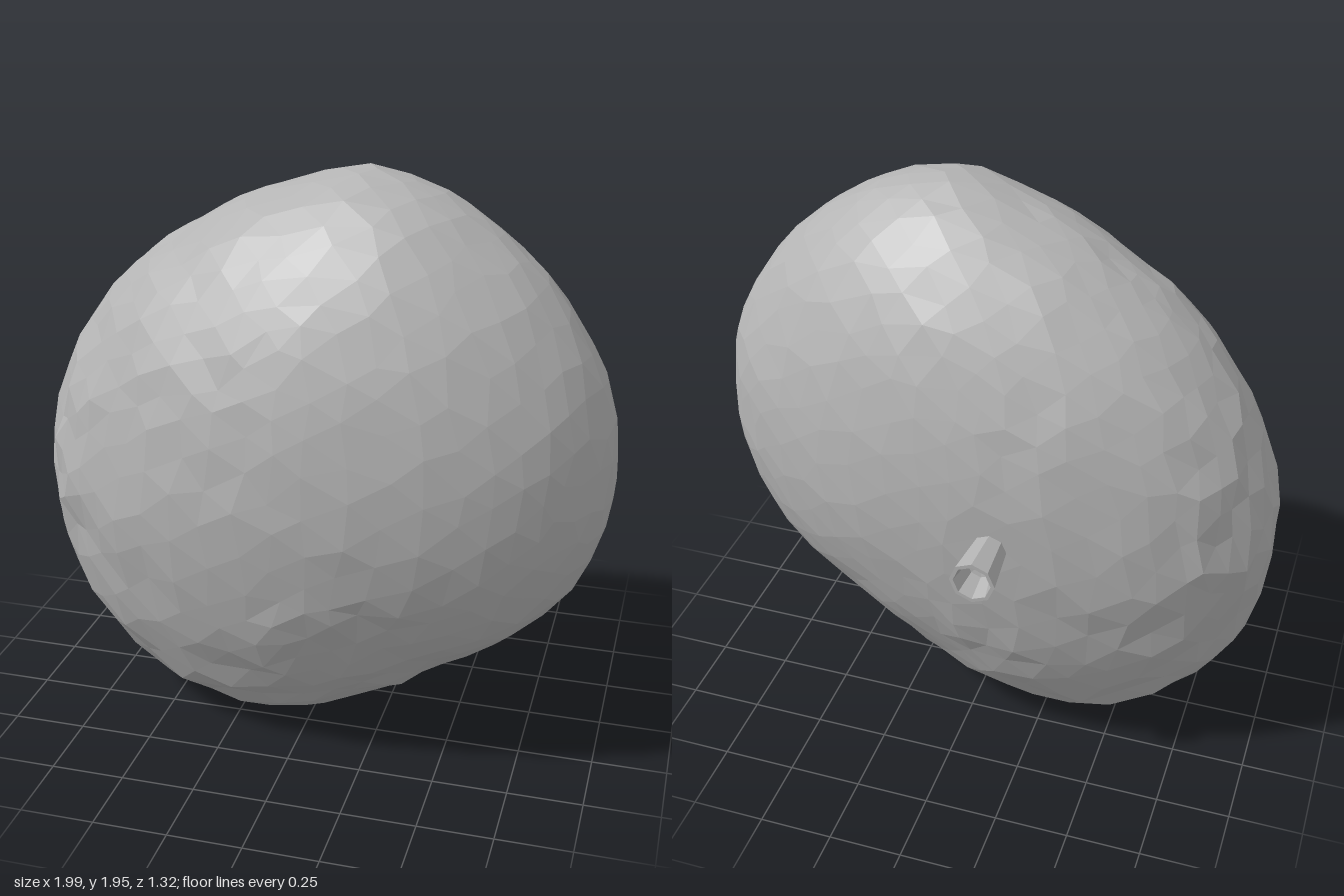
import * as THREE from 'three';
import { mergeVertices } from 'three/addons/utils/BufferGeometryUtils.js';

const stone = new THREE.MeshStandardMaterial({ color: 0xb4b4b4, flatShading: true });
stone.name = 'stone grey';

const CENTRE_Y = 0.97;

// Widest outline of the boulder (x, y), anticlockwise from the left tip
const OUTLINE = [
  [1.0, 0.93], [0.98, 1.27], [0.81, 1.57], [0.57, 1.79], [0.38, 1.9], [0.16, 1.95],
  [-0.08, 1.89], [-0.25, 1.83], [-0.41, 1.74], [-0.61, 1.61], [-0.79, 1.42], [-0.89, 1.27],
  [-0.97, 1.05], [-1.01, 0.82], [-0.97, 0.6], [-0.89, 0.39], [-0.71, 0.15], [-0.48, 0.0],
  [-0.08, -0.01], [0.22, 0.11], [0.5, 0.29], [0.89, 0.61],
];
const TURN = Math.PI * 2;
const polar = OUTLINE.map(([x, y]) => ({
  angle: (Math.atan2(y - CENTRE_Y, x) + TURN) % TURN,
  radius: Math.hypot(x, y - CENTRE_Y),
})).sort((a, b) => a.angle - b.angle);

// Outline radius at any angle
function outlineRadius(angle) {
  const t = (angle + TURN) % TURN;
  let i = polar.findIndex((p) => p.angle > t);
  if (i < 0) i = 0;
  const b = polar[i], a = polar[(i + polar.length - 1) % polar.length];
  const span = (b.angle - a.angle + TURN) % TURN;
  const k = ((t - a.angle + TURN) % TURN) / span;
  return a.radius + (b.radius - a.radius) * k;
}

// Seeded random numbers from -1 to 1
function makeRandom(seed) {
  return () => {
    seed = (seed * 16807) % 2147483647;
    return (seed / 2147483647) * 2 - 1;
  };
}

// Flattened, lopsided sphere with chipped facets
function boulderGeometry() {
  let geo = new THREE.IcosahedronGeometry(1, 8);
  geo.deleteAttribute('uv');
  geo.deleteAttribute('normal');
  geo = mergeVertices(geo, 1e-4);
  const pos = geo.attributes.position;
  const random = makeRandom(4127);
  const d = new THREE.Vector3();
  for (let i = 0; i < pos.count; i++) {
    d.fromBufferAttribute(pos, i);
    // Facets drift along the surface; the right and the underside are rougher
    const rough = THREE.MathUtils.clamp(0.45 - 0.4 * d.x - 0.35 * d.y, 0.2, 1);
    d.x += random() * 0.022;
    d.y += random() * 0.022;
    d.z += random() * 0.022;
    d.normalize();
    const angle = Math.atan2(d.y, d.x);
    const reach = outlineRadius(angle) * Math.hypot(d.x, d.y);
    const chip = 1 + random() * 0.018 * rough - 0.005 * rough;
    const x = Math.cos(angle) * reach * chip;
    const y = CENTRE_Y + Math.sin(angle) * reach * chip;
    const z = 0.06 + 0.085 * x + d.z * (d.z > 0 ? 0.59 : 0.555) * chip;
    pos.setXYZ(i, THREE.MathUtils.clamp(x, -1, 1), Math.max(0, y), z);
  }
  geo.computeVertexNormals();
  return geo;
}

// Flared eight-sided peg with a hollow end
function pegGeometry() {
  const profile = [[0.05, 0], [0.075, 0.25], [0.062, 0.25], [0.045, 0.16], [0, 0.15]];
  return new THREE.LatheGeometry(profile.map(([r, y]) => new THREE.Vector2(r, y)), 8);
}

export function createModel() {
  const model = new THREE.Group();
  model.name = 'boulder';

  const body = new THREE.Mesh(boulderGeometry(), stone);
  body.name = 'boulderBody';

  const peg = new THREE.Mesh(pegGeometry(), stone);
  peg.name = 'backPeg';
  peg.rotation.x = -Math.PI / 2;
  peg.position.set(-0.145, 0.935, -0.42);

  model.add(body, peg);
  return model;
}
